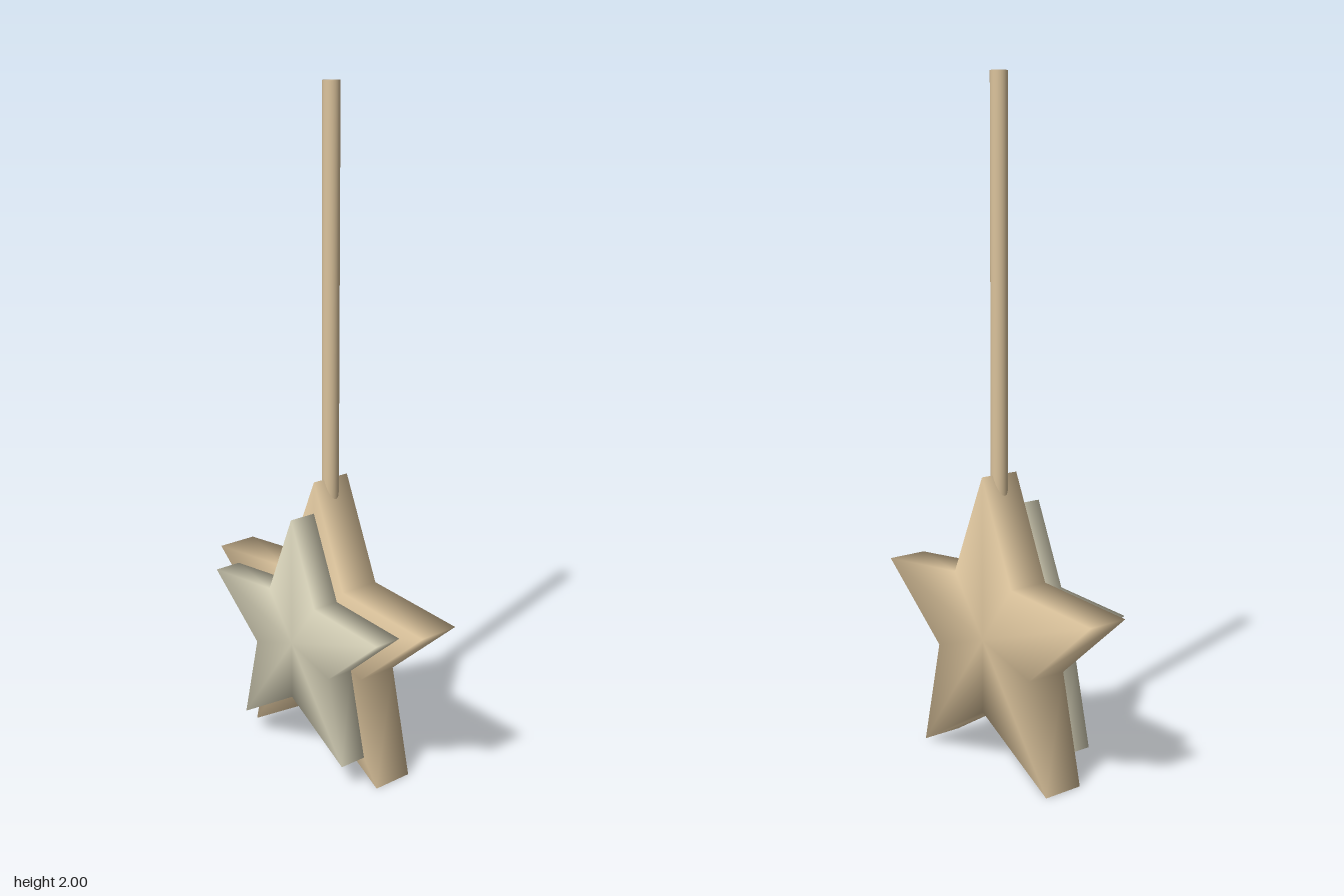
import * as THREE from 'three';
import { mergeVertices } from 'three/addons/utils/BufferGeometryUtils.js';

const CENTER_Y = 0.39;

// Five-pointed slab: two rims and two centre points, all sharing smooth normals
function starGeometry(outer, inner, zBack, zFront) {
  const n = 10, pos = [], index = [];
  for (const z of [zFront, zBack]) {
    for (let i = 0; i < n; i++) {
      const a = Math.PI / 2 + (i / n) * Math.PI * 2;
      const r = i % 2 ? inner : outer;
      pos.push(Math.cos(a) * r, CENTER_Y + Math.sin(a) * r, z);
    }
  }
  pos.push(0, CENTER_Y, zFront, 0, CENTER_Y, zBack);
  for (let i = 0; i < n; i++) {
    const j = (i + 1) % n;
    index.push(2 * n, i, j);               // front fan
    index.push(2 * n + 1, n + j, n + i);   // back fan
    index.push(i, n + i, n + j, i, n + j, j); // edge
  }
  const geo = new THREE.BufferGeometry();
  geo.setAttribute('position', new THREE.Float32BufferAttribute(pos, 3));
  geo.setIndex(index);
  geo.computeVertexNormals();
  return geo;
}

// Round rod with the caps blended into the sides
function rodGeometry(radius, y0, y1) {
  let geo = new THREE.CylinderGeometry(radius, radius, y1 - y0, 24);
  geo.deleteAttribute('normal');
  geo.deleteAttribute('uv');
  geo = mergeVertices(geo, 1e-4);
  geo.computeVertexNormals();
  return geo.translate(0, (y0 + y1) / 2, 0);
}

export function createModel() {
  const model = new THREE.Group();
  model.name = 'starWand';
  const tan = new THREE.MeshStandardMaterial({ name: 'tan', color: 0xdbc39c });
  const cream = new THREE.MeshStandardMaterial({ name: 'cream', color: 0xd6d1b8 });

  const add = (name, geo, mat) => {
    const mesh = new THREE.Mesh(geo, mat);
    mesh.name = name;
    model.add(mesh);
    return mesh;
  };

  add('backStar', starGeometry(0.482, 0.22, -0.107, 0.02), tan);
  add('frontStar', starGeometry(0.386, 0.175, 0.02, 0.106), cream);
  add('rod', rodGeometry(0.025, 0.7, 2), tan).position.z = -0.043;

  return model;
}
